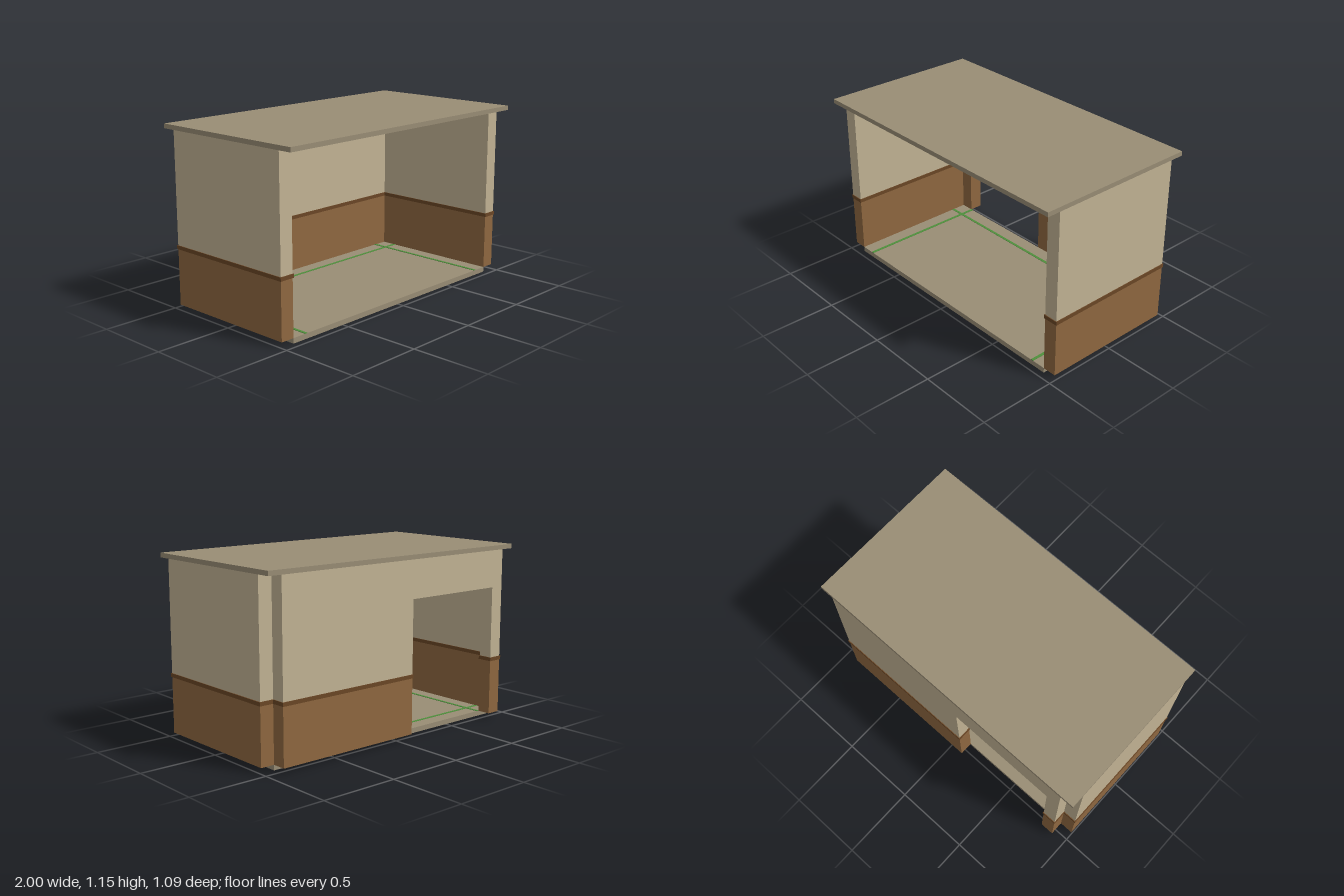
import * as THREE from 'three';

const mat = (name, color, opts = {}) => {
  const m = new THREE.MeshStandardMaterial({ color, ...opts });
  m.name = name;
  return m;
};

export function createModel() {
  const model = new THREE.Group();
  model.name = 'openRoom';

  const plaster = mat('beige plaster', 0xc2b394);
  const stone = mat('grey beige slab', 0x998d75);
  const wood = mat('brown panelling', 0x8f6840);
  const darkWood = mat('dark brown rail', 0x6b4726);
  const green = mat('green stripe', 0x4f8f3c);
  const dark = mat('dark fixture', 0x33363a);

  // Box given by its lower and upper corner
  const box = (name, material, [x0, y0, z0], [x1, y1, z1], parent = model) => {
    const mesh = new THREE.Mesh(new THREE.BoxGeometry(x1 - x0, y1 - y0, z1 - z0), material);
    mesh.position.set((x0 + x1) / 2, (y0 + y1) / 2, (z0 + z1) / 2);
    mesh.name = name;
    parent.add(mesh);
    return mesh;
  };

  const FLOOR = 0.033, RAIL = 0.39, RAIL_TOP = 0.414, CEIL = 1.121;
  const IN = 0.905, OUT = 0.995, BACK = -0.54, INNER = -0.45, FRONT = 0.456;

  // Floor and overhanging roof slab
  box('floor', stone, [-IN, 0, INNER], [IN, FLOOR, FRONT]);
  box('roof', stone, [-OUT, CEIL, BACK], [OUT, 1.15, 0.545]);

  // Wall piece: panelling below, protruding rail, plaster above
  const wall = (name, x0, x1, z0, z1) => {
    const g = new THREE.Group();
    g.name = name;
    const e = 0.005;
    box('panelling', wood, [x0, FLOOR, z0], [x1, RAIL, z1], g);
    box('rail', darkWood, [x0 - e, RAIL, z0 - e], [x1 + e, RAIL_TOP, z1 + e], g);
    box('plaster', plaster, [x0, RAIL_TOP, z0], [x1, CEIL, z1], g);
    model.add(g);
  };
  wall('leftWall', IN, OUT, INNER, FRONT);
  wall('rightWall', -OUT, -IN, INNER, FRONT);

  // Back wall on both sides of the doorway, with a lintel above it
  const D0 = -0.815, D1 = -0.095;
  wall('backWallNarrow', -IN, D0, BACK, INNER);
  wall('backWallWide', D1, IN, BACK, INNER);
  box('lintel', plaster, [D0, 0.88, BACK], [D1, CEIL, INNER]);

  // Painted floor stripes
  const S = 0.009, T = FLOOR + 0.003;
  for (const x of [-0.805, 0.805]) {
    box('floorStripeSide', green, [x - S, FLOOR, INNER], [x + S, T, FRONT]);
  }
  box('floorStripeBack', green, [-IN, FLOOR, -0.35 - S], [IN, T - 0.0005, -0.35 + S]);

  // Square ceiling fixtures: stepped dark frame around a recessed panel
  const frame = (name, parent, r, w, y0, y1) => {
    for (const s of [-1, 1]) {
      const a = s * r, b = s * (r - w);
      box(name, dark, [-r, y0, Math.min(a, b)], [r, y1, Math.max(a, b)], parent);
      box(name, dark, [Math.min(a, b), y0, -r + w], [Math.max(a, b), y1, r - w], parent);
    }
  };
  for (const x of [-0.45, 0.45]) {
    const g = new THREE.Group();
    g.name = 'ceilingFixture';
    g.position.x = x;
    frame('fixtureFrame', g, 0.15, 0.014, 1.106, CEIL);
    frame('fixtureLip', g, 0.145, 0.009, 1.1, 1.106);
    box('fixturePanel', stone, [-0.136, 1.112, -0.136], [0.136, CEIL, 0.136], g);
    model.add(g);
  }

  return model;
}
